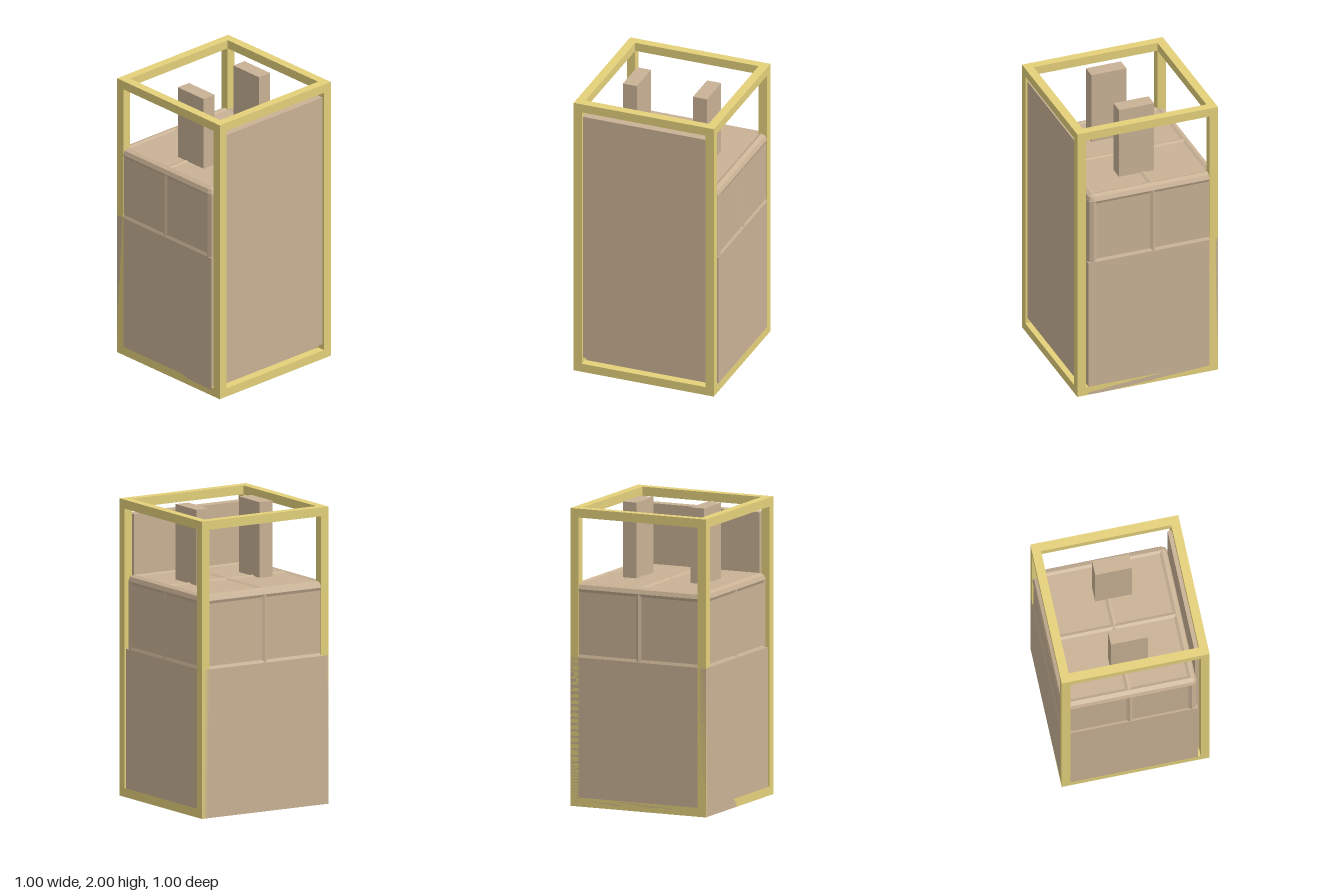
import * as THREE from 'three';

export function createModel() {
  const root = new THREE.Group();
  root.name = 'framedMachine';
  const yellow = new THREE.MeshStandardMaterial({ color: 0xe4d17b, flatShading: true });
  yellow.name = 'yellow';
  const tan = new THREE.MeshStandardMaterial({ color: 0xc9b295, flatShading: true });
  tan.name = 'tan';

  const add = (parent, name, geometry, material, x, y, z) => {
    const mesh = new THREE.Mesh(geometry, material);
    mesh.name = name;
    mesh.position.set(x, y, z);
    parent.add(mesh);
    return mesh;
  };
  // box given by its ranges along x, y and z
  const box = (parent, name, material, [x0, x1], [y0, y1], [z0, z1]) =>
    add(parent, name, new THREE.BoxGeometry(x1 - x0, y1 - y0, z1 - z0), material,
      (x0 + x1) / 2, (y0 + y1) / 2, (z0 + z1) / 2);
  const group = (name) => {
    const g = new THREE.Group();
    g.name = name;
    root.add(g);
    return g;
  };

  // outer frame of twelve square bars
  const frame = group('frame');
  const inner = [-0.44, 0.44];
  const bars = [[-0.5, -0.44], [0.44, 0.5]];
  for (const a of bars) {
    for (const b of bars) box(frame, 'framePost', yellow, a, [0, 2], b);
    for (const y of [[0, 0.06], [1.94, 2]]) {
      box(frame, 'frameBarAcross', yellow, inner, y, a);
      box(frame, 'frameBarDeep', yellow, a, y, inner);
    }
  }

  // solid lower body
  box(root, 'lowerBody', tan, [-0.5, 0.42], [0, 1], [-0.5, 0.5]);

  // recessed panels of the upper body: each box pushes out along one axis only
  const tank = group('upperBody');
  const xs = [-0.46, -0.04, 0.38], zs = [-0.46, 0, 0.46];
  const top = 1.46, out = 0.0317, r = 0.04;
  box(tank, 'sidePanels', tan, [-0.46 - out, 0.38 + out], [1, top], [-0.46, 0.46]);
  box(tank, 'frontBackPanels', tan, [-0.46, 0.38], [1, top], [-0.46 - out, 0.46 + out]);
  box(tank, 'topPanels', tan, [-0.46, 0.38], [1, top + out], [-0.46, 0.46]);

  // eight-sided ribs along the edges and middle of every face
  const rib = (axis, length, x, y, z) => {
    const m = add(tank, 'rib', new THREE.CylinderGeometry(r, r, length, 8, 1), tan, x, y, z);
    if (axis === 'x') m.rotation.z = Math.PI / 2;
    if (axis === 'z') m.rotation.x = Math.PI / 2;
  };
  for (const x of xs) for (const z of zs) {
    if (x !== -0.04 || z !== 0) rib('y', top - 1, x, (1 + top) / 2, z);
  }
  for (const z of zs) {
    rib('x', 0.84, -0.04, top, z);
    if (z !== 0) rib('x', 0.84, -0.04, 1, z);
  }
  for (const x of xs) {
    rib('z', 0.92, x, top, 0);
    if (x !== -0.04) rib('z', 0.92, x, 1, 0);
  }
  // faceted joints at the top corners
  for (const x of [-0.46, 0.38]) for (const z of [-0.46, 0.46]) {
    add(tank, 'cornerJoint', new THREE.SphereGeometry(r, 8, 4), tan, x, top, z);
  }

  // two upright columns on the top
  for (const z of [-0.25, 0.25]) {
    box(root, 'column', tan, [-0.125, 0.125], [top, 2], [z - 0.05, z + 0.05]);
  }

  // tall thick plate set between the side posts
  box(root, 'sidePlate', tan, [0.415, 0.485], [0.1, 1.9], [-0.44, 0.44]);

  return root;
}
